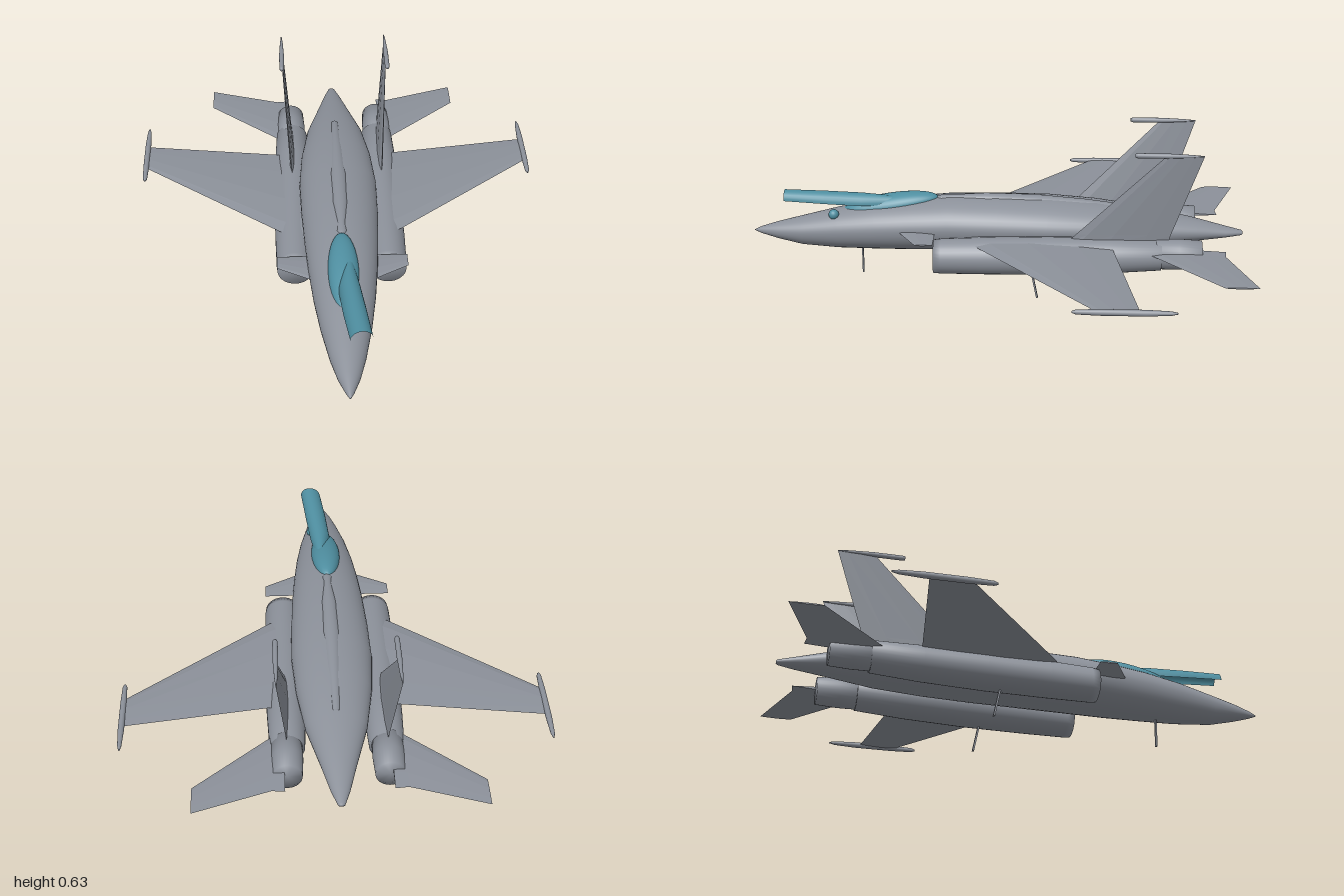
import * as THREE from 'three';

const grey = new THREE.MeshStandardMaterial({ color: 0x8c919a });
grey.name = 'airframe grey';
const teal = new THREE.MeshStandardMaterial({ color: 0x4f8fa1, side: THREE.DoubleSide });
teal.name = 'canopy teal';

const V = (x, y, z) => new THREE.Vector3(x, y, z);

// Closed skin through equal-length rings of points, capped at both ends
function loft(rings, { flat = false, flip = false } = {}) {
  const n = rings[0].length, pos = [], idx = [];
  const tri = (a, b, c) => idx.push(...(flip ? [a, c, b] : [a, b, c]));
  rings.forEach(r => r.forEach(p => pos.push(p.x, p.y, p.z)));
  for (let i = 0; i < rings.length - 1; i++) {
    for (let j = 0; j < n; j++) {
      const a = i * n + j, b = i * n + (j + 1) % n;
      tri(a, a + n, b);
      tri(b, a + n, b + n);
    }
  }
  [rings[0], rings[rings.length - 1]].forEach((r, end) => {
    const c = r.reduce((s, p) => s.add(p), V(0, 0, 0)).divideScalar(n);
    const k = pos.length / 3, base = end ? (rings.length - 1) * n : 0;
    pos.push(c.x, c.y, c.z);
    for (let j = 0; j < n; j++) {
      const a = base + j, b = base + (j + 1) % n;
      if (end) tri(k, b, a); else tri(k, a, b);
    }
  });
  let g = new THREE.BufferGeometry();
  g.setAttribute('position', new THREE.Float32BufferAttribute(pos, 3));
  g.setIndex(idx);
  if (flat) g = g.toNonIndexed();
  g.computeVertexNormals();
  return g;
}

// Ring facing z: half width, height above and depth below its centre
function ring(z, x, y, w, up, down = up, n = 40) {
  return Array.from({ length: n }, (_, j) => {
    const a = j / n * Math.PI * 2, s = Math.sin(a);
    return V(x + w * Math.cos(a), y + (s > 0 ? up : down) * s, z);
  });
}

// Thin aerofoil surface between sections [x, y, leading z, trailing z, half thickness]
function foil(sections, side, upright = false) {
  const profile = [[0, 0], [0.12, 0.7], [0.4, 1], [0.75, 0.6], [1, 0], [0.75, -0.6], [0.4, -1], [0.12, -0.7]];
  const rings = sections.map(([x, y, le, te, t]) => profile.map(([u, h]) =>
    V(side * (x - (upright ? h * t : 0)), y + (upright ? 0 : h * t), le + (te - le) * u)));
  return loft(rings, { flat: true, flip: side < 0 });
}

export function createModel() {
  const model = new THREE.Group();
  const add = (name, geo, mat = grey) => {
    const m = new THREE.Mesh(geo, mat);
    m.name = name;
    model.add(m);
    return m;
  };

  // Fuselage: z, centre y, half width, height above, depth below
  add('fuselage', loft([
    [1, 0.2, 0.002, 0.002, 0.002], [0.97, 0.2, 0.016, 0.016, 0.014], [0.9, 0.203, 0.042, 0.034, 0.036],
    [0.8, 0.21, 0.068, 0.052, 0.065], [0.65, 0.226, 0.098, 0.074, 0.09], [0.5, 0.24, 0.12, 0.088, 0.104],
    [0.35, 0.252, 0.135, 0.094, 0.115], [0.2, 0.26, 0.146, 0.1, 0.119], [0, 0.263, 0.156, 0.1, 0.117],
    [-0.2, 0.263, 0.16, 0.096, 0.113], [-0.4, 0.258, 0.147, 0.086, 0.103], [-0.6, 0.248, 0.118, 0.068, 0.083],
    [-0.8, 0.233, 0.065, 0.042, 0.045], [-0.92, 0.223, 0.035, 0.022, 0.022], [-0.985, 0.22, 0.014, 0.01, 0.01],
    [-0.99, 0.22, 0.008, 0.005, 0.005],
  ].map(([z, y, w, u, d]) => ring(z, 0, y, w, u, d))));

  // Raised dorsal spine
  add('spine', loft([
    [0.25, 0.35, 0.008, 0.008], [0.23, 0.348, 0.022, 0.016], [0.18, 0.348, 0.018, 0.018], [0.05, 0.348, 0.032, 0.026],
    [-0.15, 0.342, 0.036, 0.028], [-0.35, 0.326, 0.03, 0.028], [-0.58, 0.302, 0.018, 0.024],
  ].map(([z, y, w, h]) => ring(z, 0, y, w, h, h, 20))));

  // Cockpit fairing, following the slope of the nose
  const cockpit = add('cockpitFairing', new THREE.SphereGeometry(1, 32, 20), teal);
  cockpit.scale.set(0.06, 0.045, 0.2);
  cockpit.position.set(-0.002, 0.32, 0.44);
  cockpit.rotation.x = 0.17;

  // Raised canopy: a curved open shell, rolled to one side
  const arc = [[0.38, 0.02, 0.335, 0.008, 0.01], [0.43, 0.017, 0.33, 0.024, 0.035], [0.55, 0.016, 0.328, 0.042, 0.046],
    [0.7, 0.03, 0.341, 0.044, 0.044], [0.86, 0.047, 0.357, 0.042, 0.038]];
  const cols = 14;
  const shell = new THREE.PlaneGeometry(1, 1, cols, arc.length - 1);
  const p = shell.attributes.position;
  arc.forEach(([z, x, y, w, h], i) => {
    for (let j = 0; j <= cols; j++) {
      const a = Math.PI * (1 - j / cols);
      p.setXYZ(i * (cols + 1) + j, x + w * Math.cos(a), y + h * Math.sin(a) + 0.1 * w * Math.cos(a), z);
    }
  });
  shell.computeVertexNormals();
  add('canopyShell', shell, teal);
  add('canopyKnob', new THREE.SphereGeometry(0.021, 20, 14), teal).position.set(0.05, 0.292, 0.665);

  for (const s of [1, -1]) {
    const side = s > 0 ? 'left' : 'right';

    // Engine pod and narrower nozzle
    add(side + 'EnginePod', loft([
      [0.25, 0.174, 0.066], [0.22, 0.175, 0.069], [0.05, 0.179, 0.073], [-0.2, 0.184, 0.075],
      [-0.45, 0.19, 0.071], [-0.65, 0.197, 0.063],
    ].map(([z, y, r]) => ring(z, s * 0.187, y, r + 0.004, r, r, 32))));
    add(side + 'Nozzle', loft([[-0.63, 0.06], [-0.72, 0.061], [-0.81, 0.056]]
      .map(([z, r]) => ring(z, s * 0.19, 0.2, r, r, r, 32))));

    // Flying surfaces
    add(side + 'Wing', foil([[0.12, 0.238, 0.15, -0.45, 0.014], [0.25, 0.236, 0.07, -0.46, 0.013],
      [0.805, 0.234, -0.38, -0.54, 0.005]], s));
    add(side + 'Canard', foil([[0.09, 0.248, 0.42, 0.25, 0.005], [0.135, 0.248, 0.39, 0.25, 0.005],
      [0.258, 0.248, 0.32, 0.25, 0.003]], s));
    add(side + 'Tailplane', foil([[0.2, 0.216, -0.57, -0.905, 0.008], [0.25, 0.216, -0.61, -0.9, 0.007],
      [0.54, 0.213, -0.87, -1, 0.003]], s));
    add(side + 'Fin', foil([[0.187, 0.24, -0.275, -0.675, 0.012], [0.192, 0.28, -0.315, -0.685, 0.009],
      [0.224, 0.62, -0.655, -0.8, 0.003]], s, true));

    // Slender rods on the wing tip and fin top
    add(side + 'TipRail', loft([[-0.295, 0.004], [-0.31, 0.009], [-0.4, 0.012], [-0.56, 0.012], [-0.65, 0.008], [-0.675, 0.003]]
      .map(([z, r]) => ring(z, s * 0.813, 0.234, r, r, r, 16))));
    add(side + 'FinRod', loft([[-0.535, 0.007], [-0.545, 0.01], [-0.66, 0.01], [-0.75, 0.006], [-0.8, 0.002]]
      .map(([z, r]) => ring(z, s * 0.223, 0.621, r, r, r, 16))));

    // Main gear leg
    const leg = add(side + 'MainLeg', new THREE.BoxGeometry(0.016, 0.125, 0.007));
    leg.position.set(s * 0.187, 0.064, -0.15);
    leg.rotation.x = 0.2;
  }

  // Nose gear leg
  add('noseLeg', new THREE.BoxGeometry(0.014, 0.13, 0.006)).position.set(0, 0.085, 0.558);

  return model;
}
